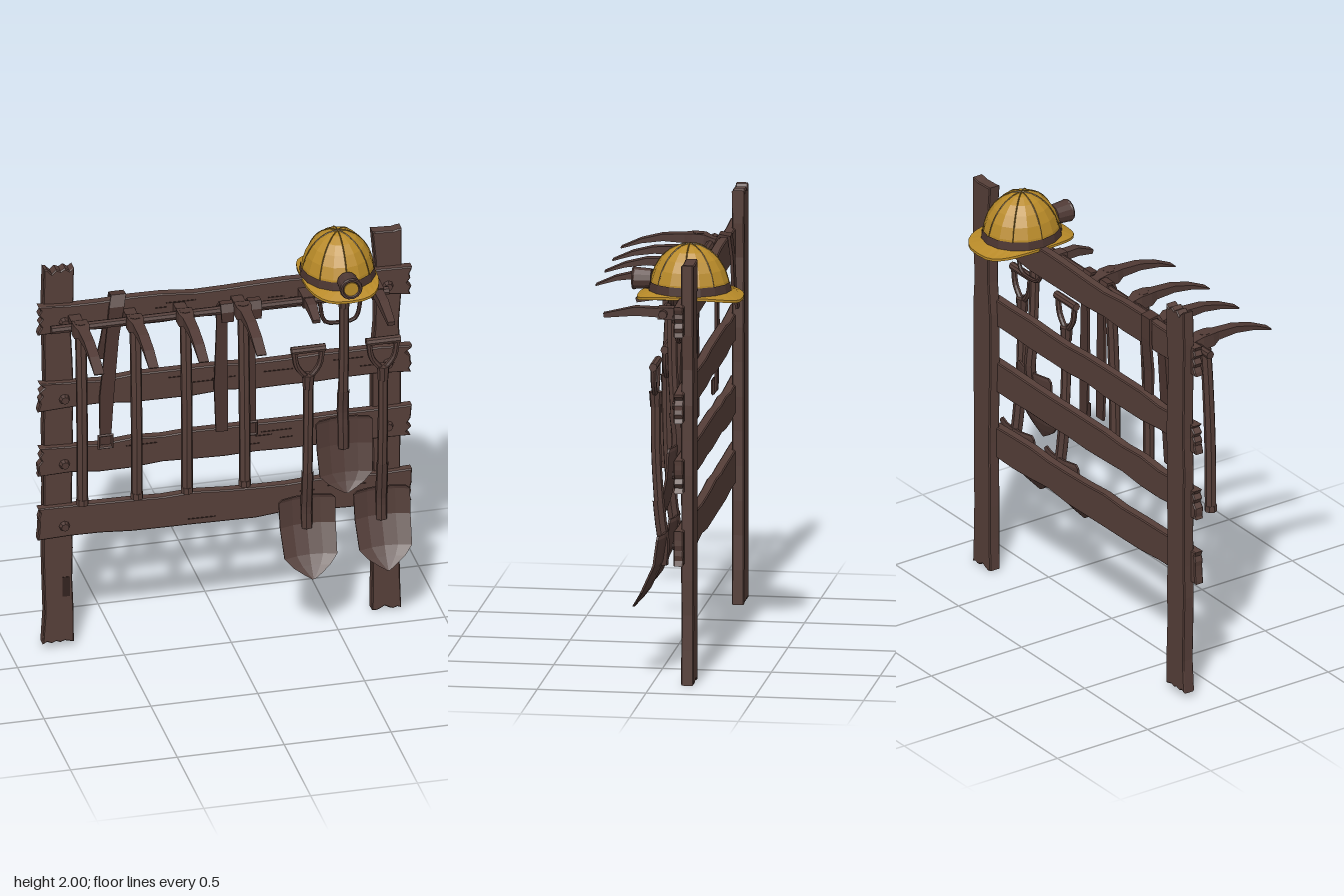
import * as THREE from 'three';

const mat = (name, color, side = THREE.FrontSide) => {
  const m = new THREE.MeshStandardMaterial({ color, side, flatShading: true });
  m.name = name;
  return m;
};

// Seeded random number, 0..1
let seed = 7;
const rnd = () => (seed = (seed * 16807) % 2147483647) / 2147483647;

// Skin a list of rings; rings run counter-clockwise around the travel direction
function loft(rings, caps = true) {
  const pos = [], n = rings[0].length;
  const tri = (a, b, c) => pos.push(...a, ...b, ...c);
  for (let r = 0; r + 1 < rings.length; r++) {
    const A = rings[r], B = rings[r + 1];
    for (let i = 0; i < n; i++) {
      const j = (i + 1) % n;
      tri(A[i], A[j], B[j]);
      tri(A[i], B[j], B[i]);
    }
  }
  if (caps) {
    const S = rings[0], E = rings[rings.length - 1];
    // strip-style caps suit thin rings
    for (let i = 0, j = n - 1; j - i > 1; i++, j--) {
      tri(S[i], S[j], S[i + 1]); tri(E[i], E[i + 1], E[j]);
      if (j - 1 > i + 1) { tri(S[i + 1], S[j], S[j - 1]); tri(E[i + 1], E[j - 1], E[j]); }
    }
  }
  const g = new THREE.BufferGeometry();
  g.setAttribute('position', new THREE.Float32BufferAttribute(pos, 3));
  g.computeVertexNormals();
  return g;
}

// Flat bar following points [x, y, z, halfWidth, halfThickness], bending in the yz plane
function bar(pts) {
  return loft(pts.map(([x, y, z, w, h], i) => {
    const a = pts[Math.max(i - 1, 0)], b = pts[Math.min(i + 1, pts.length - 1)];
    const l = Math.hypot(b[1] - a[1], b[2] - a[2]);
    const ny = (b[2] - a[2]) / l * h, nz = -(b[1] - a[1]) / l * h;
    return [[w, -1], [w, 1], [-w, 1], [-w, -1]].map(([u, s]) => [x + u, y + s * ny, z + s * nz]);
  }));
}

// Worn timber along x: ragged long edges and split ends
function timber(len, height, depth) {
  const p = [], L = len / 2, H = height / 2, long = 12, short = 7;
  const wear = () => rnd() * rnd() * 0.02;
  const split = (i) => (i % 2 ? rnd() * 0.03 : rnd() * 0.008);
  for (let i = 0; i < long; i++) p.push([-L + len * i / long, -H + wear()]);
  for (let i = 0; i < short; i++) p.push([L - split(i), -H + height * i / short]);
  for (let i = 0; i < long; i++) p.push([L - len * i / long, H - wear()]);
  for (let i = 0; i < short; i++) p.push([-L + split(i), H - height * i / short]);
  const shape = new THREE.Shape(p.map(([x, y]) => new THREE.Vector2(x, y)));
  const b = 0.005;
  return new THREE.ExtrudeGeometry(shape, { depth: depth - 2 * b, bevelThickness: b, bevelSize: b, bevelOffset: -b, bevelSegments: 1 })
    .translate(0, 0, -depth / 2 + b);
}

export function createModel() {
  seed = 7;
  const wood = mat('weathered wood', 0x553e38);
  const crackMat = mat('dark crack', 0x33231f);
  const iron = mat('dark iron', 0x503a35);
  const leather = mat('leather', 0x4b3530);
  const yellow = mat('helmet yellow', 0xb88a28, THREE.DoubleSide);
  const seam = mat('helmet seam', 0x765a20);

  const root = new THREE.Group();
  root.name = 'toolRack';
  const add = (name, geo, material, x = 0, y = 0, z = 0, parent = root) => {
    const m = new THREE.Mesh(geo, material);
    m.name = name;
    m.position.set(x, y, z);
    parent.add(m);
    return m;
  };
  const tube = (pts, r, seg = 12) =>
    new THREE.TubeGeometry(new THREE.CatmullRomCurve3(pts.map((p) => new THREE.Vector3(...p)), false, 'centripetal'), seg, r, 7);

  // Posts
  add('rightPost', timber(1.94, 0.145, 0.057).rotateZ(Math.PI / 2), wood, -0.775, 1.0, -0.163);
  add('leftPost', timber(1.96, 0.14, 0.057).rotateZ(Math.PI / 2), wood, 0.762, 0.985, -0.163);
  add('postCrack', new THREE.BoxGeometry(0.035, 0.1, 0.004), crackMat, -0.74, 0.32, -0.134);

  // Planks: centre height, height, tilt
  [[1.715, 0.15, -0.006], [1.315, 0.145, -0.009], [0.985, 0.155, 0], [0.66, 0.17, -0.007]].forEach(([y, h, tilt], k) => {
    const plank = new THREE.Group();
    plank.name = 'plank' + (k + 1);
    plank.position.set(-0.003, y, -0.128);
    plank.rotation.z = tilt;
    root.add(plank);
    add('board', timber(1.75, h, 0.046), wood, 0, 0, 0, plank);
    for (let i = 0; i < 6; i++)
      add('crack', new THREE.BoxGeometry(0.05 + rnd() * 0.12, 0.005, 0.004), crackMat, (rnd() - 0.5) * 1.5, (rnd() - 0.5) * h * 0.65, 0.0235, plank);
    for (const x of [-0.752, 0.762])
      add('bolt', new THREE.CylinderGeometry(0.018, 0.026, 0.022, 8).rotateX(Math.PI / 2), iron, x, -0.015, 0.032, plank);
  });

  // Hanging rail with clamps
  add('rail', new THREE.CylinderGeometry(0.02, 0.02, 1.58, 8).rotateZ(Math.PI / 2), iron, -0.045, 1.71, -0.037);
  for (const x of [-0.71, -0.455, -0.22, 0.05, 0.365, 0.54, 0.69])
    add('clamp', new THREE.BoxGeometry(0.055, 0.055, 0.1), iron, x, 1.71, -0.06);

  // Pegs under the helmet
  for (const [x, tip] of [[0.365, 0.14], [0.69, 0.24]])
    add('peg', bar([[x, 1.71, -0.1, 0.022, 0.022], [x, 1.715, tip * 0.4, 0.022, 0.02], [x, 1.69, tip, 0.017, 0.01]]), iron);

  // Pickaxes
  for (const x of [-0.71, -0.455, -0.22, 0.05]) {
    const pick = new THREE.Group();
    pick.name = 'pickaxe';
    pick.position.x = x;
    root.add(pick);
    add('pickHead', bar([
      [0, 1.7, -0.11, 0.018, 0.012], [0, 1.722, -0.04, 0.024, 0.02], [0, 1.725, -0.01, 0.036, 0.032],
      [0, 1.728, 0.045, 0.036, 0.032], [0, 1.735, 0.08, 0.026, 0.021], [0, 1.735, 0.18, 0.024, 0.016],
      [0, 1.715, 0.28, 0.024, 0.01], [0, 1.68, 0.373, 0.023, 0.003]]), iron, 0, 0, 0, pick);
    add('pickHandle', tube([[0, 1.76, 0.018], [0, 1.5, 0.036], [0, 1.15, 0.05], [0, 0.845, 0.052]], 0.027, 8), wood, 0, 0, 0, pick);
    add('handleEnd', new THREE.CylinderGeometry(0.029, 0.029, 0.03, 8), wood, 0, 0.855, 0.052, pick);
  }

  // Shovels, hanging blade down; y is the height of the blade tip
  function shovel(x, y, z, lean) {
    const s = new THREE.Group();
    s.name = 'shovel';
    s.position.set(x, y, z);
    root.add(s);
    // blade rows: height, half width, depth
    const rows = [[0.355, 0.115, -0.05], [0.34, 0.132, -0.052], [0.22, 0.13, -0.035], [0.09, 0.123, 0.025],
      [0.05, 0.085, 0.055], [0.02, 0.04, 0.082], [0, 0.006, 0.1]];
    const steps = [1, 0.5, 0, -0.5, -1];
    add('blade', loft(rows.map(([h, w, d]) => {
      const pt = (u, off) => [u * w, h, d * lean + u * u * 0.025 * (w / 0.13) + off];
      return [...steps.map((u) => pt(u, 0.005)), ...steps.map((u) => pt(-u, -0.005))];
    })), iron, 0, 0, 0, s);
    add('socket', tube([[0, 0.5, -0.012], [0, 0.38, -0.025], [0, 0.3, -0.036 * lean], [0, 0.2, -0.03 * lean]], 0.028, 8), iron, 0, 0, 0, s);
    add('shaft', tube([[0, 1.0, 0], [0, 0.7, -0.003], [0, 0.42, -0.02]], 0.024, 8), wood, 0, 0, 0, s);
    add('gripNeck', new THREE.CylinderGeometry(0.03, 0.025, 0.07, 8), iron, 0, 0.97, 0, s);
    for (const side of [-1, 1])
      add('gripStrut', tube([[0, 0.98, 0], [side * 0.052, 1.05, 0], [side * 0.066, 1.13, 0]], 0.014, 8), iron, 0, 0, 0, s);
    add('gripBar', new THREE.CylinderGeometry(0.019, 0.019, 0.16, 8).rotateZ(Math.PI / 2), wood, 0, 1.135, 0, s);
  }
  shovel(0.36, 0.34, 0, 1);
  shovel(0.71, 0.34, 0, 1);
  shovel(0.54, 0.71, -0.05, 0.5);

  // Strap draped over the top plank
  add('longStrap', bar([
    [-0.57, 1.06, -0.085, 0.025, 0.006], [-0.562, 1.3, -0.09, 0.033, 0.007], [-0.535, 1.6, -0.092, 0.03, 0.007],
    [-0.515, 1.76, -0.092, 0.035, 0.008], [-0.5, 1.805, -0.115, 0.035, 0.008], [-0.5, 1.8, -0.158, 0.035, 0.007],
    [-0.515, 1.7, -0.168, 0.033, 0.007], [-0.54, 1.55, -0.17, 0.033, 0.007], [-0.56, 1.45, -0.185, 0.03, 0.006]]), leather);
  // Straps looped over the rail
  for (const [x, low] of [[-0.025, 1.06], [0.105, 1.02]])
    add('railStrap', bar([
      [x, low, -0.08, 0.028, 0.006], [x - 0.005, 1.3, -0.078, 0.032, 0.007], [x - 0.002, 1.6, -0.075, 0.025, 0.007],
      [x, 1.71, -0.068, 0.03, 0.007], [x + 0.01, 1.742, -0.05, 0.03, 0.007], [x + 0.01, 1.742, -0.024, 0.03, 0.007],
      [x + 0.01, 1.71, -0.008, 0.03, 0.006], [x + 0.01, 1.66, -0.01, 0.028, 0.005]]), leather);
  for (const [x, y] of [[-0.57, 1.08], [0.105, 1.06]])
    add('buckle', new THREE.TorusGeometry(0.045, 0.008, 4, 4).rotateZ(Math.PI / 4), iron, x, y, -0.073);

  // Helmet
  const helmet = new THREE.Group();
  helmet.name = 'helmet';
  helmet.position.set(0.53, 1.775, -0.13);
  root.add(helmet);
  const dome = new THREE.SphereGeometry(1, 16, 6, 0, Math.PI * 2, 0, Math.PI / 2).scale(0.168, 0.225, 0.185);
  add('dome', dome, yellow, 0, 0, 0, helmet);
  for (let i = 0; i < 4; i++)
    add('domeSeam', new THREE.TorusGeometry(1, 0.016, 4, 24, Math.PI).rotateY(i * Math.PI / 4).scale(0.167, 0.224, 0.184), seam, 0, 0, 0, helmet);
  add('band', new THREE.CylinderGeometry(1, 1.03, 0.04, 16, 1).scale(0.169, 1, 0.186), leather, 0, 0.032, 0, helmet);
  helmet.children[helmet.children.length - 1].geometry =
    new THREE.CylinderGeometry(1, 1.03, 0.04, 16, 1, true).scale(0.169, 1, 0.186);
  // Brim: rounded-square outline that droops to front and back
  const ring = (outer, dy) => Array.from({ length: 28 }, (_, i) => {
    const a = i / 28 * Math.PI * 2, c = Math.cos(a), s = Math.sin(a);
    if (!outer) return [c * 0.162, dy + 0.005, s * 0.18];
    const e = (v) => Math.sign(v) * Math.abs(v) ** 0.7;
    return [e(c) * 0.173, dy - 0.025 * s * s, e(s) * 0.242 - 0.003 * Math.abs(s)];
  });
  add('brim', loft([ring(false, 0.008), ring(true, 0.008), ring(true, -0.004), ring(false, -0.004)], false), yellow, 0, 0, 0, helmet);
  // Head lamp
  add('lamp', new THREE.CylinderGeometry(0.052, 0.046, 0.08, 12).rotateX(Math.PI / 2), iron, 0, 0.055, 0.215, helmet);
  add('lampRim', new THREE.TorusGeometry(0.045, 0.009, 6, 14), iron, 0, 0.055, 0.255, helmet);
  add('lampLens', new THREE.CylinderGeometry(0.034, 0.034, 0.008, 12).rotateX(Math.PI / 2), yellow, 0, 0.055, 0.257, helmet);
  // Chin strap
  add('chinStrap', tube([[-0.1, 0, 0.05], [-0.093, -0.13, 0.05], [-0.07, -0.215, 0.045], [0, -0.228, 0.042],
    [0.07, -0.215, 0.045], [0.093, -0.13, 0.05], [0.1, 0, 0.05]], 0.01, 24), leather, 0, 0, 0, helmet);

  return root;
}
